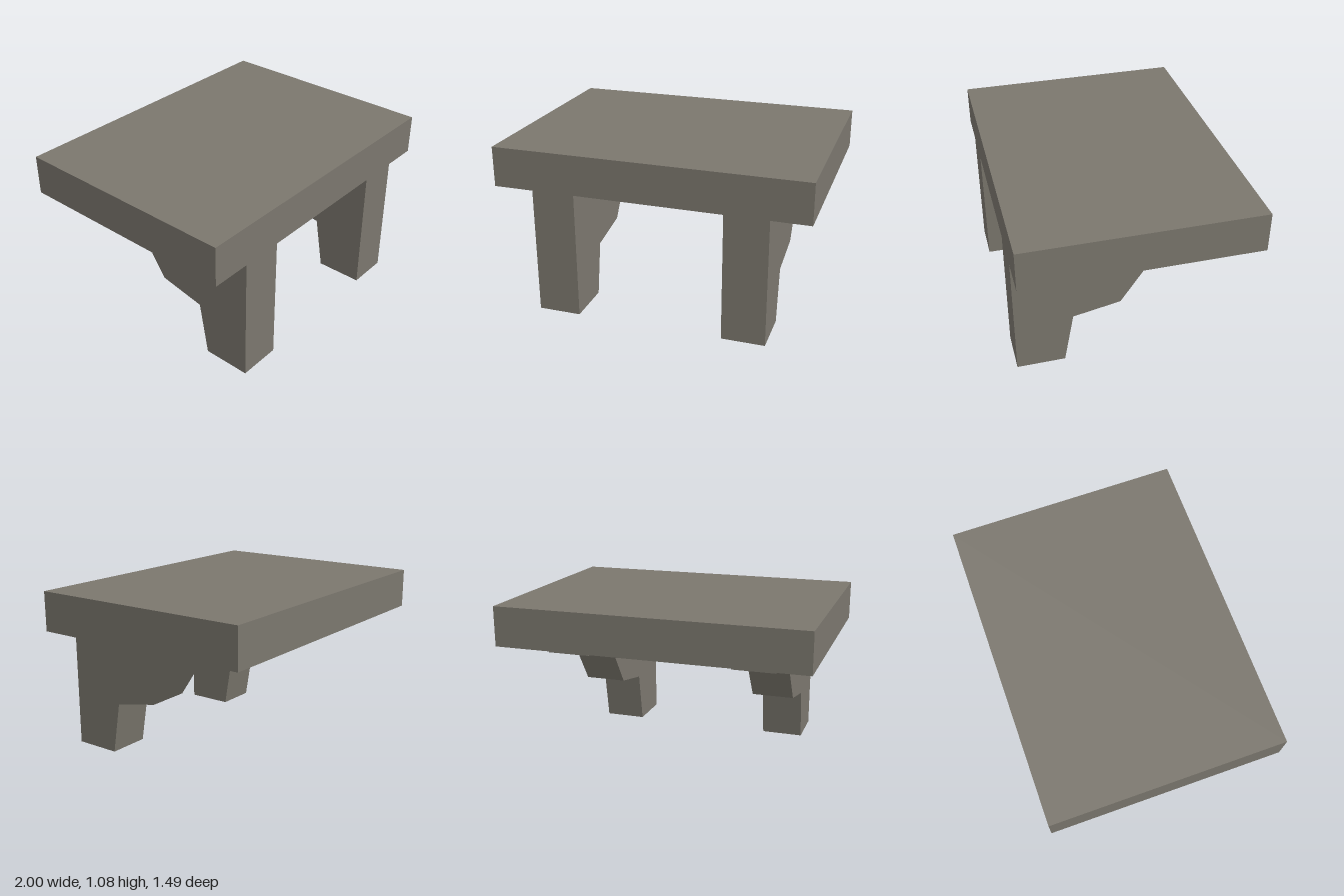
import * as THREE from 'three';

export function createModel() {
  const group = new THREE.Group();
  const stone = new THREE.MeshStandardMaterial({ color: 0x7b776e });
  stone.name = 'warm grey stone';

  const depth = 1.49, slabBottom = 0.824, slabTop = 1.082;

  // Thick rectangular slab
  const slab = new THREE.Mesh(new THREE.BoxGeometry(2, slabTop - slabBottom, depth), stone);
  slab.name = 'slab';
  slab.position.y = (slabTop + slabBottom) / 2;
  group.add(slab);

  // Stepped bracket side profile as [z, y]
  const profile = [
    [depth / 2, 0], [0.437, 0], [0.378, 0.343], [0.077, 0.402],
    [-0.125, 0.703], [-0.504, 0.743], [-0.504, slabBottom], [depth / 2, slabBottom],
  ];
  const shape = new THREE.Shape(profile.map(([z, y]) => new THREE.Vector2(-z, y)));
  const bracketGeometry = new THREE.ExtrudeGeometry(shape, { depth: 0.276, bevelEnabled: false });
  bracketGeometry.rotateY(Math.PI / 2); // extrusion now runs along +x

  // Two supporting brackets, placed by their lower x edge
  for (const [name, x] of [['rightBracket', -0.742], ['leftBracket', 0.48]]) {
    const bracket = new THREE.Mesh(bracketGeometry, stone);
    bracket.name = name;
    bracket.position.x = x;
    group.add(bracket);
  }
  return group;
}
